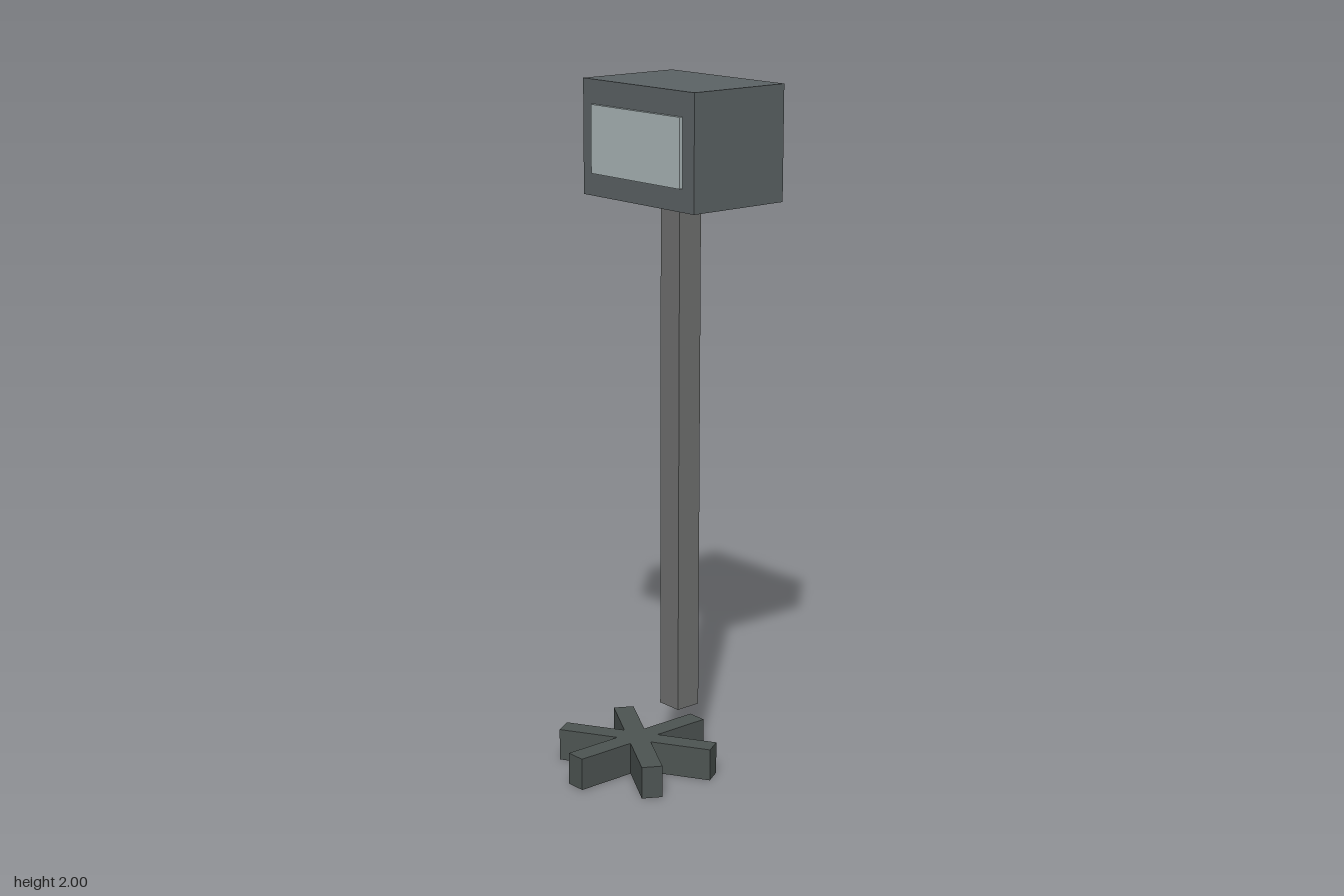
import * as THREE from 'three';

const paint = (color) => new THREE.MeshStandardMaterial({ color, flatShading: true });

// Box given by its lower and upper corners
function block(name, min, max, material) {
  const size = max.map((v, i) => v - min[i]);
  const mesh = new THREE.Mesh(new THREE.BoxGeometry(...size), material);
  mesh.position.set(...max.map((v, i) => (v + min[i]) / 2));
  mesh.name = name;
  return mesh;
}

export function createModel() {
  const model = new THREE.Group();
  model.name = 'pedestalDisplay';

  // Six-armed foot: three bars crossing at 60 degrees
  const base = new THREE.Group();
  base.name = 'starBase';
  base.position.z = 0.049;
  const baseMaterial = paint(0x4d5452);
  for (let i = 0; i < 3; i++) {
    const bar = block('baseBar', [-0.03, 0, -0.234], [0.03, 0.095, 0.234], baseMaterial);
    bar.rotation.y = (i * Math.PI) / 3;
    base.add(bar);
  }
  model.add(base);

  // Square post, set back from the foot's centre and floating just above it
  model.add(block('post', [-0.04, 0.157, -0.154], [0.04, 1.675, -0.074], paint(0x6f706f)));

  // Head with a slightly raised screen on its front
  model.add(block('head', [-0.235, 1.672, -0.284], [0.235, 2, 0.046], paint(0x5c6365)));
  model.add(block('screen', [-0.188, 1.737, 0.036], [0.188, 1.931, 0.057], paint(0xaab6b7)));

  return model;
}
